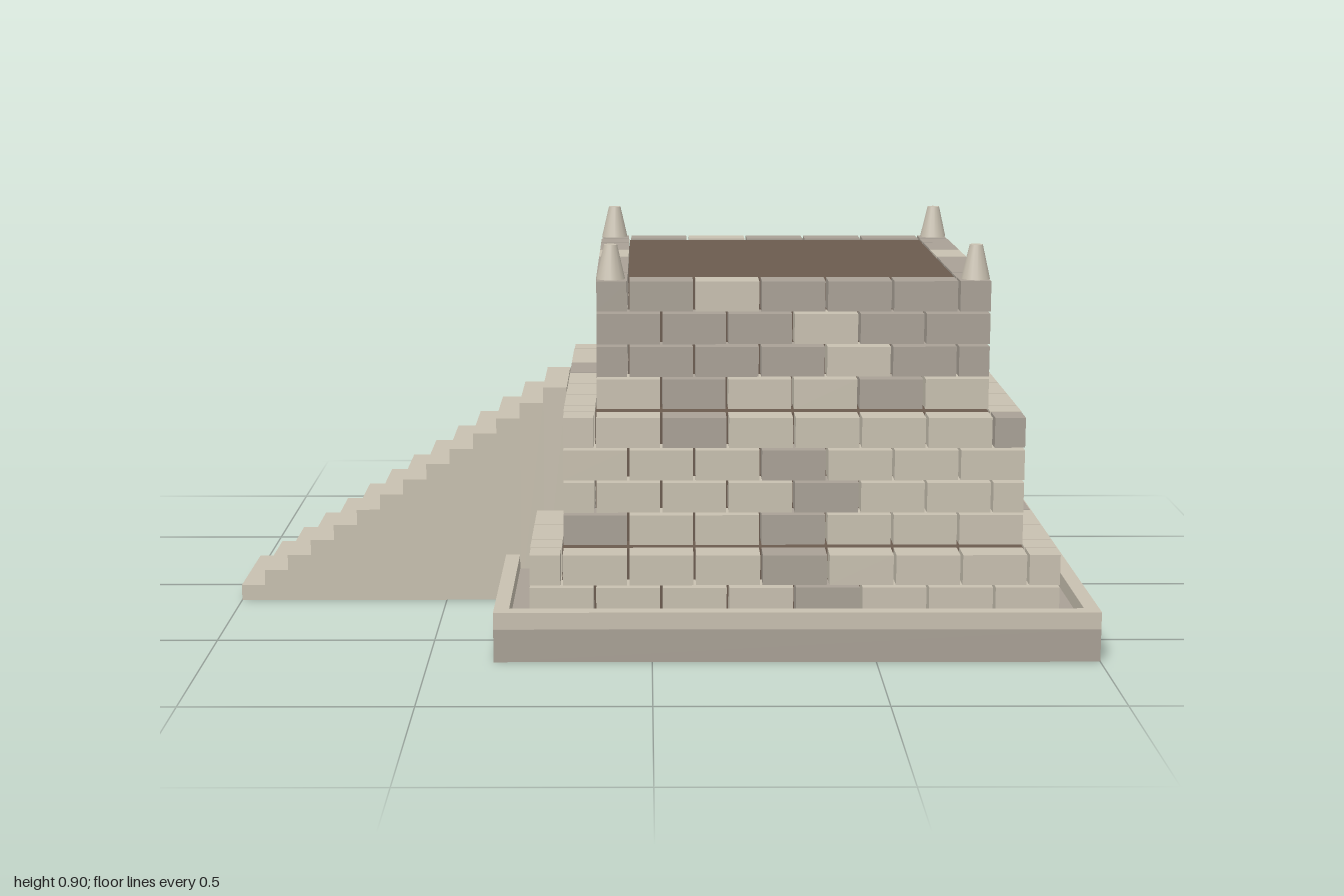
import * as THREE from 'three';

const CX = 0.321;       // centre of the tower in x
const UNIT = 0.15;      // block length
const PITCH = 0.075;    // course height, also block depth
const GAP = 0.006;      // joint between blocks

const mat = (color) => new THREE.MeshStandardMaterial({ color });
const light = mat(0xc8c0b0), dark = mat(0xa9a196), earth = mat(0x6b5b4f);

function box(parent, name, [w, h, d], [x, y, z], material) {
  const mesh = new THREE.Mesh(new THREE.BoxGeometry(w, h, d), material);
  mesh.name = name;
  mesh.position.set(x, y, z);
  parent.add(mesh);
  return mesh;
}

// One row of blocks; a shifted row starts and ends with half blocks.
// The tones string holds one digit per block, 1 for a dark stone.
function blockRow(length, shifted, tones) {
  const row = new THREE.Group();
  let x = -length / 2;
  [...tones].forEach((tone, i) => {
    const end = i === 0 || i === tones.length - 1;
    const w = shifted && end ? UNIT / 2 : UNIT;
    box(row, 'block', [w - GAP, PITCH - GAP, PITCH - GAP / 2], [x + w / 2, 0, 0],
      tone === '1' ? dark : light);
    x += w;
  });
  return row;
}

// Square ring of four rows: long rows on front and back, short rows between
function course(index, half, longTones, shortTones) {
  const ring = new THREE.Group();
  ring.name = 'course' + index;
  ring.position.set(CX, 0.081 + (index + 0.5) * PITCH - 0.003, 0);
  const shifted = index % 2 === 1;
  const offset = half - PITCH / 2;
  for (const s of [1, -1]) {
    const long = blockRow(half * 2, shifted, longTones);
    long.name = s > 0 ? 'frontRow' : 'backRow';
    long.position.z = s * offset;
    const short = blockRow(half * 2 - 2 * PITCH, shifted, shortTones);
    short.name = s > 0 ? 'leftRow' : 'rightRow';
    short.position.x = s * offset;
    short.rotation.y = Math.PI / 2;
    ring.add(long, short);
  }
  return ring;
}

export function createModel() {
  const model = new THREE.Group();
  model.name = 'steppedTower';

  // Base slab with a raised rim
  const baseHalf = 0.677, rim = 0.034;
  box(model, 'baseSlab', [1.354, 0.075, 1.354], [0.323, 0.0375, 0], dark);
  for (const s of [1, -1]) {
    const off = s * (baseHalf - rim / 2);
    box(model, 'rimLong', [1.354, 0.038, rim], [0.323, 0.095, off], light);
    box(model, 'rimShort', [rim, 0.038, 1.354 - 2 * rim - GAP], [0.323 + off, 0.095, 0], light);
  }
  box(model, 'baseFill', [1.34, 0.004, 1.34], [0.323, 0.0765, 0], dark);

  // Three tiers of stone courses, from the bottom up
  const tiers = [
    { half: 0.6, rows: [['00001000', '0100001'], ['000010000', '00010000']] },
    { half: 0.525, rows: [['1001000', '100001'], ['00001000', '0010000'],
      ['0001000', '001000'], ['00100001', '0000100']] },
    { half: 0.45, rows: [['010010', '11110'], ['1111011', '101111'],
      ['111011', '10111'], ['1101111', '111011']] },
  ];
  let index = 0;
  for (const { half, rows } of tiers) {
    for (const [long, short] of rows) model.add(course(index++, half, long, short));
    // Earth fill inside the walls
    const top = 0.081 + index * PITCH - 0.009, w = 2 * (half - PITCH);
    box(model, 'earthFill', [w, top - 0.07, w], [CX, (top + 0.07) / 2, 0], earth);
  }

  // Tapered finials on the four top corners
  const finial = new THREE.CylinderGeometry(0.015, 0.033, 0.078, 16);
  for (const sx of [1, -1]) {
    for (const sz of [1, -1]) {
      const mesh = new THREE.Mesh(finial, light);
      mesh.name = 'finial';
      mesh.position.set(CX + sx * 0.415, 0.866, sz * 0.415);
      model.add(mesh);
    }
  }

  // Staircase of full-height steps on the right side
  const stairs = new THREE.Group();
  stairs.name = 'staircase';
  const steps = 14, run = 0.796 / steps, rise = 0.527 / steps;
  for (let i = 0; i < steps; i++) {
    const h = (i + 1) * rise;
    box(stairs, 'step', [run, h, 0.294], [-1 + (i + 0.5) * run, h / 2, 0], light);
  }
  model.add(stairs);

  return model;
}
